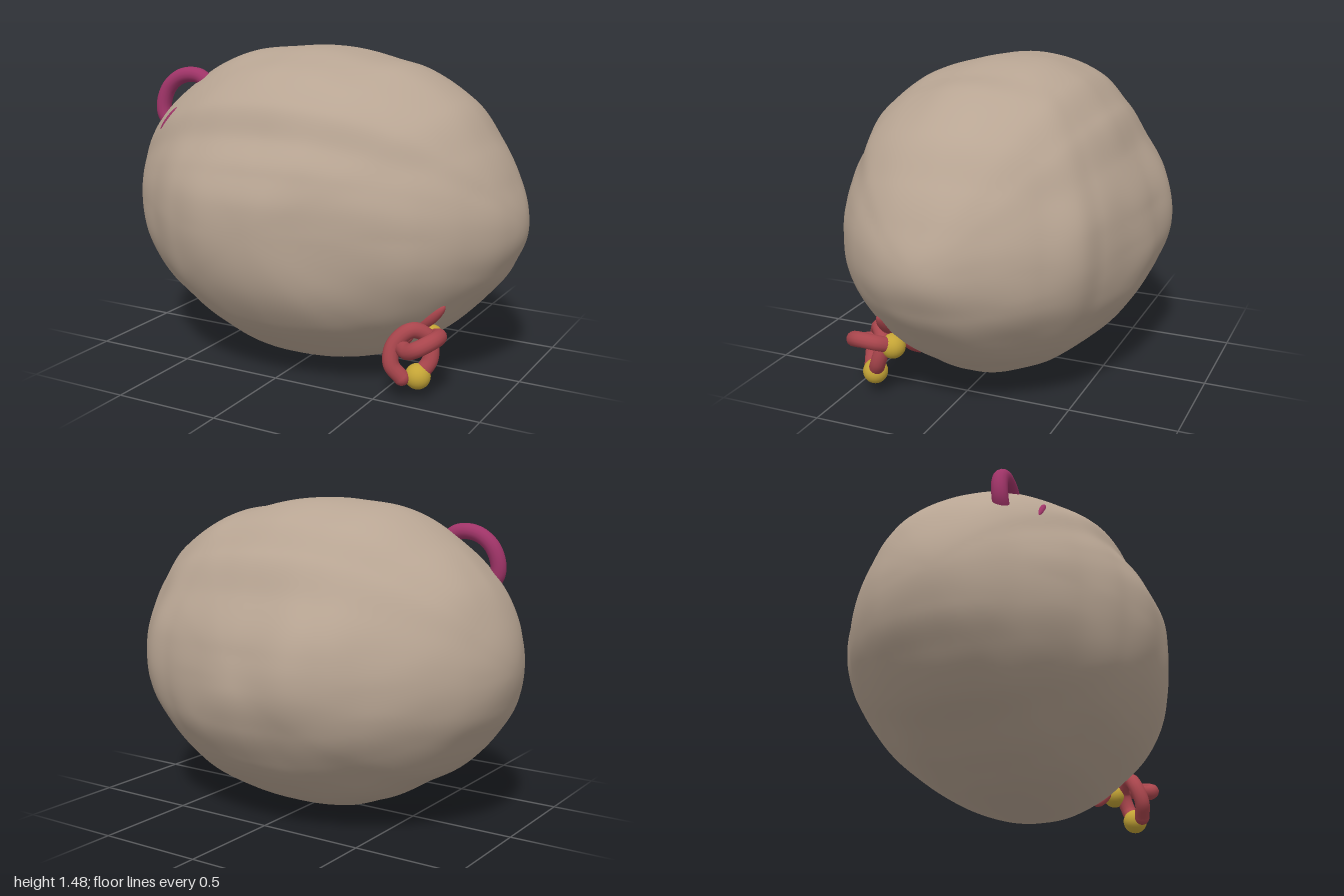
import * as THREE from 'three';
import { mergeVertices } from 'three/addons/utils/BufferGeometryUtils.js';

const RX = 1, RY = 0.74, RZ = 0.745;
const V = (x, y, z) => new THREE.Vector3(x, y, z);

// Outline points become a function: angle -> radius relative to the plain ellipse
function outline(points, a, b, centreB) {
  const knots = points.map(([u, v]) => {
    const p = u / a, q = (v - centreB) / b;
    return [Math.atan2(q, p), Math.hypot(p, q)];
  }).sort((m, n) => m[0] - n[0]);
  const n = knots.length, turn = Math.PI * 2;
  return (angle) => {
    let i = knots.findIndex((k) => k[0] > angle);
    if (i < 0) i = n;
    const lo = knots[(i + n - 1) % n], hi = knots[i % n];
    const a0 = i === 0 ? lo[0] - turn : lo[0];
    const a1 = i === n ? hi[0] + turn : hi[0];
    return lo[1] + (hi[1] - lo[1]) * THREE.MathUtils.smoothstep(angle, a0, a1);
  };
}

const frontOutline = outline([
  [-0.15, 1.48], [0.25, 1.44], [0.45, 1.41], [0.7, 1.27], [0.85, 1.08], [0.93, 0.93],
  [1, 0.7], [0.93, 0.53], [0.8, 0.36], [0.6, 0.18], [0.4, 0.06], [0.2, 0.01],
  [0, 0], [-0.2, 0.02], [-0.4, 0.09], [-0.6, 0.2], [-0.75, 0.29], [-0.87, 0.43],
  [-0.96, 0.58], [-1, 0.8], [-0.95, 0.97], [-0.85, 1.14], [-0.7, 1.28], [-0.4, 1.45],
], RX, RY, RY);

const topOutline = outline([
  [-1, -0.04], [-0.93, -0.26], [-0.8, -0.43], [-0.6, -0.58], [-0.42, -0.69], [-0.28, -0.745],
  [0, -0.72], [0.25, -0.68], [0.45, -0.63], [0.6, -0.585], [0.75, -0.45], [0.88, -0.28],
  [1, 0], [0.97, 0.15], [0.85, 0.36], [0.7, 0.5], [0.55, 0.58], [0.25, 0.68],
  [0, 0.735], [-0.25, 0.735], [-0.45, 0.66], [-0.65, 0.53], [-0.85, 0.35], [-0.97, 0.15],
], RX, RZ, 0);

const sideOutline = outline([
  [0.05, 1.48], [-0.2, 1.47], [-0.35, 1.41], [-0.5, 1.26], [-0.6, 1.07], [-0.7, 0.85],
  [-0.745, 0.65], [-0.7, 0.5], [-0.6, 0.33], [-0.45, 0.18], [-0.25, 0.06], [-0.05, 0],
  [0.15, 0.01], [0.3, 0.06], [0.45, 0.16], [0.6, 0.3], [0.7, 0.47], [0.745, 0.7],
  [0.74, 0.85], [0.68, 1], [0.6, 1.12], [0.53, 1.28], [0.4, 1.38], [0.2, 1.45],
], RZ, RY, RY);

// Blend the three outlines over a unit direction, with faint dents between them
function surface(d, scale = 1) {
  const w = [d.z, d.y, d.x].map((c) => 1 / (c * c + 0.02));
  const r = [
    frontOutline(Math.atan2(d.y, d.x)),
    topOutline(Math.atan2(d.z, d.x)),
    sideOutline(Math.atan2(d.y, d.z)),
  ];
  let k = (w[0] * r[0] + w[1] * r[1] + w[2] * r[2]) / (w[0] + w[1] + w[2]);
  const off = Math.min(1, 12 * Math.abs(d.x * d.y * d.z));
  k += 0.008 * off * Math.sin(7 * d.x + 2 * d.y) * Math.sin(6 * d.y - 3 * d.z + 1) * Math.cos(7 * d.z + d.x);
  k *= scale;
  return V(d.x * RX * k, RY + d.y * RY * k, d.z * RZ * k);
}

// Nearest rock surface point along the ray from the rock's centre
const onRock = (x, y, z, scale) => surface(V(x / RX, (y - RY) / RY, z / RZ).normalize(), scale);

function mesh(name, geometry, color) {
  const m = new THREE.Mesh(geometry, new THREE.MeshStandardMaterial({ color }));
  m.name = name;
  return m;
}

// Round-ended tube through points
function rope(name, points, radius, color, closed = false) {
  const g = new THREE.Group();
  g.name = name;
  const curve = new THREE.CatmullRomCurve3(points, closed);
  g.add(mesh(name + 'Tube', new THREE.TubeGeometry(curve, 80, radius, 14, closed), color));
  if (!closed) {
    for (const p of [points[0], points[points.length - 1]]) {
      const cap = mesh(name + 'End', new THREE.SphereGeometry(radius, 14, 10), color);
      cap.position.copy(p);
      g.add(cap);
    }
  }
  return g;
}

// Tapered sliver lying half sunk in the rock
function sliver(name, from, to, width, color) {
  const m = mesh(name, new THREE.SphereGeometry(1, 16, 12), color);
  m.position.copy(from).add(to).multiplyScalar(0.5);
  m.scale.set(width, from.distanceTo(to) / 2, width);
  m.quaternion.setFromUnitVectors(V(0, 1, 0), to.clone().sub(from).normalize());
  return m;
}

export function createModel() {
  const model = new THREE.Group();
  model.name = 'boulderWithKnots';
  const red = 0xa8454c, purple = 0xa03468, yellow = 0xc4a436;

  // Boulder
  let rock = new THREE.IcosahedronGeometry(1, 36);
  rock.deleteAttribute('uv');
  rock.deleteAttribute('normal');
  rock = mergeVertices(rock, 1e-5);
  const pos = rock.attributes.position;
  for (let i = 0; i < pos.count; i++) {
    const p = surface(V().fromBufferAttribute(pos, i).normalize());
    pos.setXYZ(i, p.x, p.y, p.z);
  }
  rock.computeVertexNormals();
  model.add(mesh('boulder', rock, 0xb8a593));

  // Upper loop, mostly buried
  model.add(rope('upperLoop', [
    V(-0.7, 1.02, 0.22), V(-0.795, 1.15, 0.225), V(-0.775, 1.26, 0.215),
    V(-0.7, 1.325, 0.205), V(-0.6, 1.33, 0.195), V(-0.5, 1.24, 0.19),
  ], 0.037, purple));
  model.add(sliver('upperSliver', onRock(-0.73, 1.09, 0.38, 0.995),
    onRock(-0.635, 1.22, 0.38, 0.995), 0.016, purple));

  // Lower knot: a hanging loop and a crossing bar, each ending in a bead
  model.add(rope('hangingLoop', [
    V(0.665, 0.1, 0.39), V(0.705, 0.17, 0.35), V(0.69, 0.26, 0.33), V(0.63, 0.305, 0.38),
    V(0.565, 0.24, 0.43), V(0.565, 0.16, 0.455), V(0.61, 0.1, 0.44),
  ], 0.036, red));
  model.add(rope('crossingBar', [
    V(0.6, 0.23, 0.42), V(0.65, 0.235, 0.465), V(0.7, 0.26, 0.475), V(0.745, 0.285, 0.42),
    V(0.74, 0.28, 0.34), V(0.68, 0.25, 0.285),
  ], 0.036, red));
  for (const p of [V(0.665, 0.1, 0.39), V(0.68, 0.25, 0.285)]) {
    const bead = mesh('bead', new THREE.SphereGeometry(0.058, 24, 16), yellow);
    bead.position.copy(p);
    model.add(bead);
  }

  // Slivers of the knot surfacing from the rock
  model.add(sliver('upperKnotSliver', onRock(0.63, 0.29, 0.32, 1), onRock(0.745, 0.42, 0.31, 1), 0.03, red));
  model.add(sliver('lowerKnotSliver', onRock(0.61, 0.23, 0.29, 1), onRock(0.43, 0.14, 0.25, 1), 0.028, red));
  return model;
}
